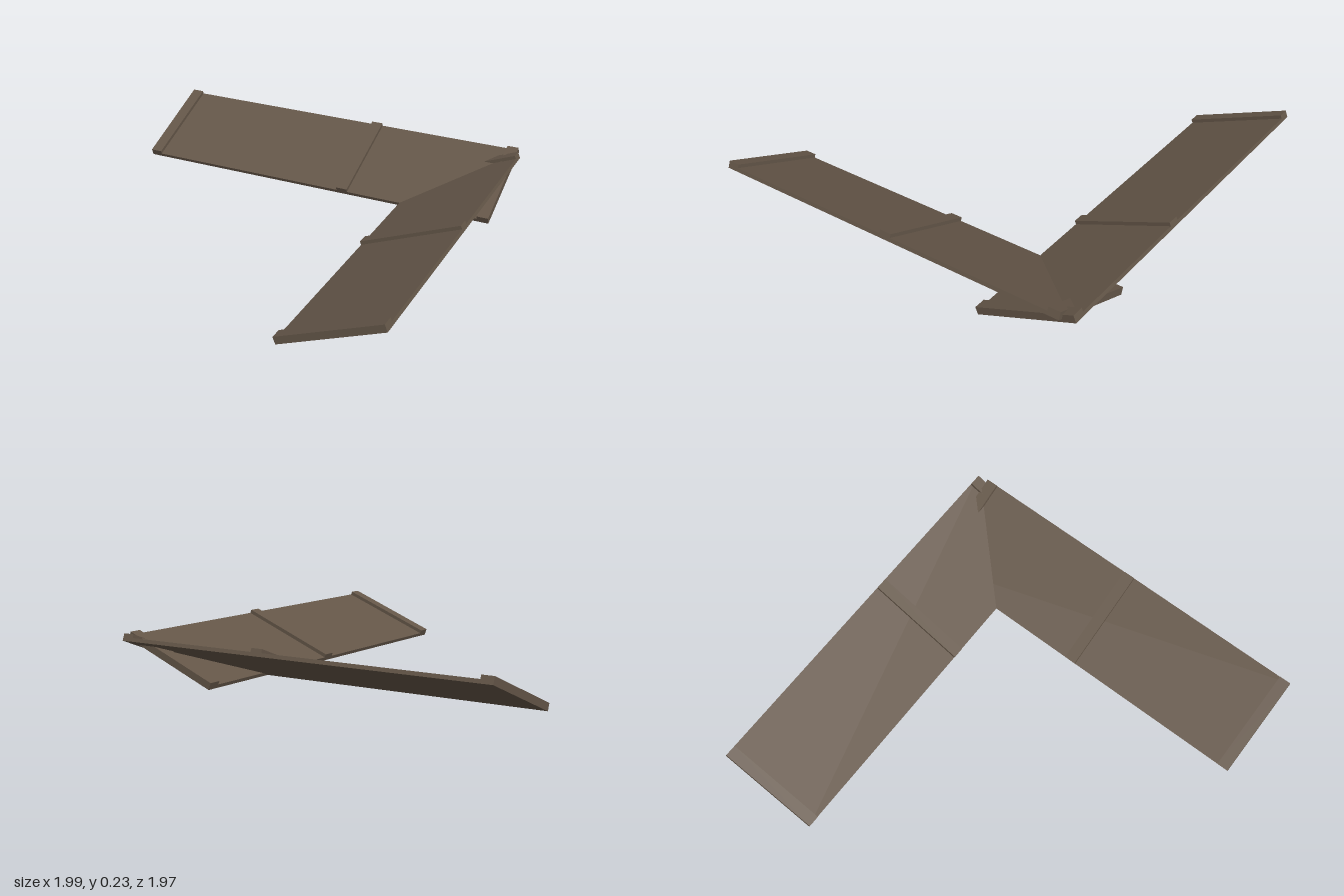
import * as THREE from 'three';

const TILT = Math.atan(0.4);
const WIDTH = 0.531; // board width measured along the slope
const THICK = 0.018;
const BATTEN = 0.06;

export function createModel() {
  const wood = new THREE.MeshStandardMaterial({ color: 0x645648 });
  wood.name = 'weathered brown wood';

  const box = (name, w, h, d, x, y, z) => {
    const mesh = new THREE.Mesh(new THREE.BoxGeometry(w, h, d), wood);
    mesh.name = name;
    mesh.position.set(x, y, z);
    return mesh;
  };

  // A roof panel running along x, with raised battens across its slope
  const panel = (name, length, battens) => {
    const group = new THREE.Group();
    group.name = name;
    group.add(box('roofBoard', length, THICK, WIDTH, 0, 0, 0));
    for (const x of battens) group.add(box('batten', BATTEN, THICK, WIDTH, x, THICK, 0));
    return group;
  };

  const model = new THREE.Group();
  model.name = 'cornerRoof';

  // Back wing: low edge towards +z
  const back = panel('backWing', 1.97, [-0.955, 0.185, 0.955]);
  back.rotation.x = TILT;
  back.position.set(-0.015, 0.107, -0.736);

  // Side wing: turned to run along z, low edge towards -x
  const side = panel('sideWing', 1.9, [-0.92, -0.03, 0.92]);
  side.rotation.order = 'ZYX';
  side.rotation.set(0, -Math.PI / 2, TILT);
  side.position.set(0.745, 0.107, 0.03);

  model.add(back, side);
  return model;
}
